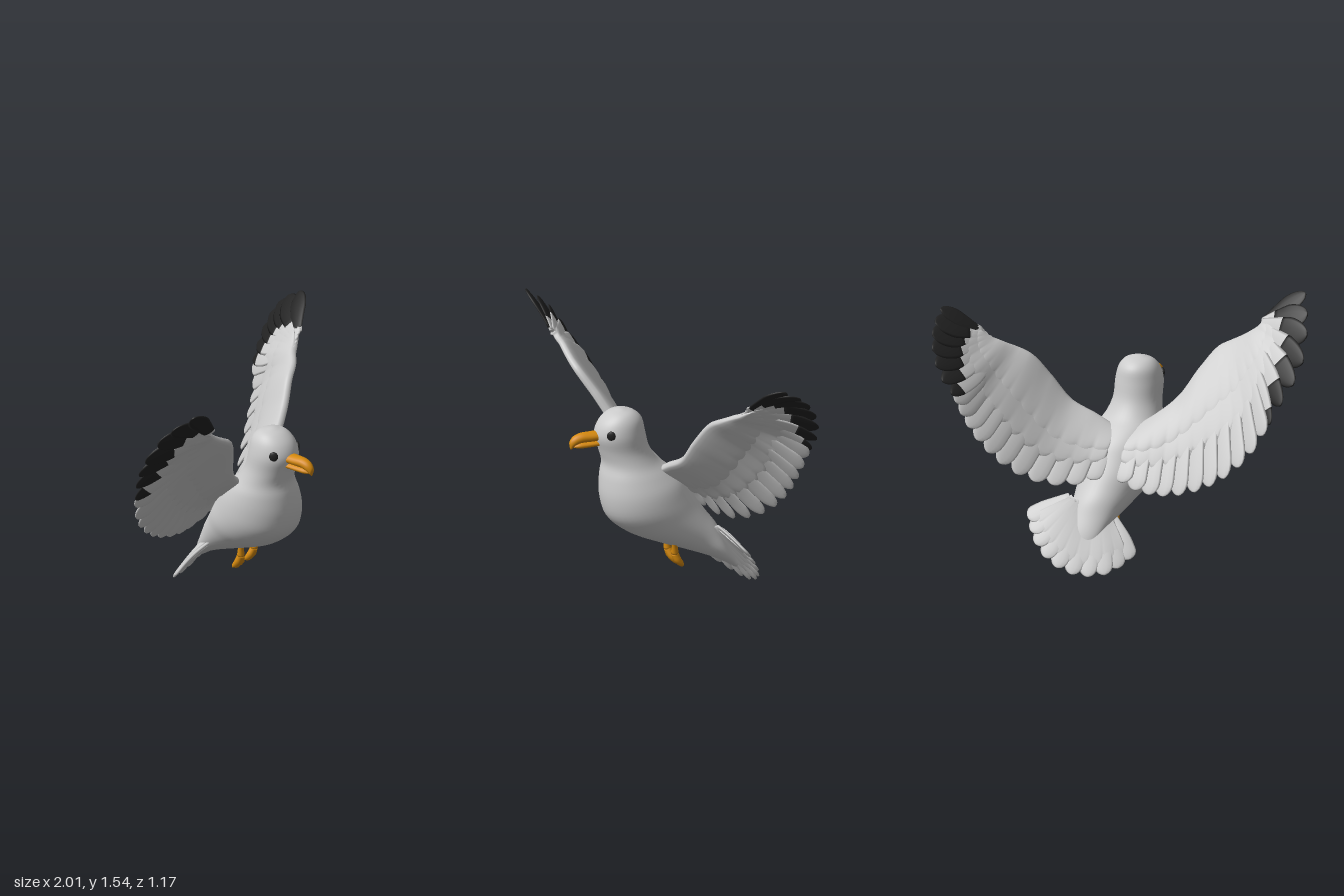
import * as THREE from 'three';
import { mergeGeometries } from 'three/addons/utils/BufferGeometryUtils.js';

const V = (x, y, z) => new THREE.Vector3(x, y, z);
const mat = (name, color) => new THREE.MeshStandardMaterial({ name, color });
const curve = (pts) => new THREE.CatmullRomCurve3(pts.map((p) => V(...p)));
const { lerp, clamp } = THREE.MathUtils;

// Piecewise linear lookup in a list of [position, value]
function ramp(stops, t) {
  for (let i = 1; i < stops.length; i++) {
    const [a, va] = stops[i - 1], [b, vb] = stops[i];
    if (t <= b) return lerp(va, vb, clamp((t - a) / (b - a), 0, 1));
  }
  return stops[stops.length - 1][1];
}

// Closed skin over a row of rings, always turned outward
function loft(rings) {
  const n = rings[0].length, m = rings.length, pos = [], idx = [];
  rings.forEach((r) => r.forEach((p) => pos.push(p.x, p.y, p.z)));
  for (const r of [rings[0], rings[m - 1]]) {
    const c = r.reduce((s, p) => s.add(p), V(0, 0, 0)).divideScalar(n);
    pos.push(c.x, c.y, c.z);
  }
  for (let j = 0; j < n; j++) {
    const k = (j + 1) % n;
    for (let i = 0; i < m - 1; i++) {
      const a = i * n + j, b = i * n + k;
      idx.push(a, b, a + n, b, b + n, a + n);
    }
    idx.push(m * n, k, j, m * n + 1, (m - 1) * n + j, (m - 1) * n + k);
  }
  const at = (i) => V(pos[i * 3], pos[i * 3 + 1], pos[i * 3 + 2]);
  let volume = 0;
  for (let i = 0; i < idx.length; i += 3) volume += at(idx[i]).dot(at(idx[i + 1]).cross(at(idx[i + 2])));
  if (volume < 0) idx.reverse();
  const g = new THREE.BufferGeometry();
  g.setAttribute('position', new THREE.Float32BufferAttribute(pos, 3));
  g.setIndex(idx);
  g.computeVertexNormals();
  return g;
}

// Ring spanned by two half-axes
function ellipse(c, a, b, n) {
  return Array.from({ length: n }, (_, i) => {
    const t = (i / n) * Math.PI * 2;
    return c.clone().addScaledVector(a, Math.cos(t)).addScaledVector(b, Math.sin(t));
  });
}

// Sections [dorsal y, dorsal z, ventral y, ventral z, x, half width], smoothed along the length
function bodyLoft(sections, steps, n) {
  const d = curve(sections.map((s) => [s[4], s[0], s[1]]));
  const v = curve(sections.map((s) => [s[4], s[2], s[3]]));
  const w = curve(sections.map((s, i) => [s[5], i, 0]));
  return loft(Array.from({ length: steps + 1 }, (_, i) => {
    const t = i / steps, a = d.getPoint(t), b = v.getPoint(t);
    return ellipse(a.clone().add(b).multiplyScalar(0.5), b.clone().sub(a).multiplyScalar(0.5),
      V(w.getPoint(t).x, 0, 0), n);
  }));
}

// Surface between a leading and a trailing curve: point(s, c) and normal(s); camber fades to the end
function makeSurface(lead, trail, side, camber) {
  const L = curve(lead), T = curve(trail), last = lead.length - 1;
  const normal = (s) => {
    const t = clamp(s / last, 0.02, 0.98);
    const span = L.getPoint(t + 0.02).add(T.getPoint(t + 0.02)).sub(L.getPoint(t - 0.02)).sub(T.getPoint(t - 0.02));
    return span.cross(T.getPoint(t).sub(L.getPoint(t))).normalize().multiplyScalar(side);
  };
  const point = (s, c) => L.getPoint(s / last).lerp(T.getPoint(s / last), c)
    .addScaledVector(normal(s), camber * (1 - 0.8 * s / last) * Math.sin(Math.PI * c));
  return { point, normal, last };
}

// Feather along the chord of a surface from fraction f0 to f1; its end narrows from fraction r
function feather(surf, s, half, f0, f1, r) {
  const normal = surf.normal(s), dir = surf.point(s, 1).sub(surf.point(s, 0)).normalize();
  const across = normal.clone().cross(dir).addScaledVector(normal, 0.13);
  const rings = [];
  for (let i = 0; i <= 14; i++) {
    const f = lerp(f0, f1, Math.sin((i / 14) * Math.PI / 2));
    const end = f > r ? Math.sqrt(Math.max(0.003, 1 - ((f - r) / (1 - r)) ** 2)) : 1;
    const w = half * lerp(0.55, 1, Math.min(1, f / 0.6)) * end;
    rings.push(ellipse(surf.point(s, f), across.clone().multiplyScalar(w),
      normal.clone().multiplyScalar(0.004 + 0.006 * end), 10));
  }
  return loft(rings);
}

// Layer of short feathers with a blunt, scalloped rear edge
function coverts(surf, reach, thick, scallops, steps = 140) {
  const rings = [];
  for (let i = 0; i <= steps; i++) {
    const s = (i / steps) * surf.last, normal = surf.normal(s);
    const edge = reach(s) * (0.93 + 0.09 * Math.sqrt(Math.abs(Math.sin(s * scallops * Math.PI))));
    rings.push(Array.from({ length: 24 }, (_, k) => {
      const a = (k / 24) * Math.PI * 2, c = (1 - Math.cos(a)) / 2, h = Math.sin(a);
      return surf.point(s, c * edge)
        .addScaledVector(normal, Math.sign(h) * Math.sqrt(Math.abs(h)) * thick(s) * (1 - 0.3 * c));
    }));
  }
  return loft(rings);
}

// Tapered round limb
function limb(pts, radii) {
  const c = curve(pts);
  return loft(Array.from({ length: 11 }, (_, i) => {
    const r = ramp(radii, i / 10), d = c.getTangent(i / 10);
    const a = V(1, 0, 0).addScaledVector(d, -d.x).normalize();
    return ellipse(c.getPoint(i / 10), a.clone().multiplyScalar(r), d.clone().cross(a).multiplyScalar(r), 12);
  }));
}

export function createModel() {
  const white = mat('white plumage', 0xcbcbcb), black = mat('black', 0x222222), orange = mat('orange', 0xd68a0e);
  const model = new THREE.Group();
  const add = (name, geo, material, parent = model) => {
    const mesh = new THREE.Mesh(Array.isArray(geo) ? mergeGeometries(geo) : geo, material);
    mesh.name = name;
    parent.add(mesh);
    return mesh;
  };

  // Head, neck, breast and rump in one smooth skin
  add('body', bodyLoft([
    [1.117, 0.26, 1.117, 0.29, 0.03, 0.02], [1.1, 0.2, 1.095, 0.35, 0.03, 0.08],
    [1.06, 0.155, 1.045, 0.405, 0.03, 0.117], [0.98, 0.135, 0.97, 0.43, 0.03, 0.137],
    [0.88, 0.11, 0.88, 0.405, 0.03, 0.14], [0.8, 0.06, 0.8, 0.385, 0.035, 0.16],
    [0.74, -0.01, 0.72, 0.4, 0.045, 0.192], [0.68, -0.07, 0.6, 0.405, 0.06, 0.217],
    [0.6, -0.12, 0.48, 0.37, 0.07, 0.222], [0.53, -0.165, 0.38, 0.25, 0.08, 0.205],
    [0.46, -0.21, 0.31, 0.09, 0.1, 0.175], [0.39, -0.26, 0.25, -0.07, 0.12, 0.145],
    [0.31, -0.3, 0.2, -0.2, 0.14, 0.125], [0.22, -0.345, 0.16, -0.285, 0.155, 0.1],
    [0.14, -0.375, 0.12, -0.35, 0.165, 0.06],
  ], 60, 40), white);

  // Hooked bill in two halves
  add('upperBill', bodyLoft([
    [0.995, 0.4, 0.94, 0.4, 0.022, 0.045], [0.996, 0.46, 0.938, 0.46, 0.022, 0.041],
    [0.994, 0.52, 0.936, 0.52, 0.021, 0.034], [0.978, 0.56, 0.922, 0.555, 0.02, 0.027],
    [0.95, 0.583, 0.905, 0.572, 0.02, 0.016], [0.92, 0.582, 0.902, 0.576, 0.02, 0.006],
  ], 24, 20), orange);
  add('lowerBill', bodyLoft([
    [0.945, 0.4, 0.908, 0.4, 0.022, 0.04], [0.942, 0.48, 0.905, 0.48, 0.022, 0.034],
    [0.938, 0.53, 0.905, 0.53, 0.021, 0.027], [0.925, 0.56, 0.912, 0.56, 0.02, 0.012],
  ], 16, 20), orange);

  // Eyes
  for (const side of [-1, 1]) {
    const eye = add(side > 0 ? 'leftEye' : 'rightEye', new THREE.SphereGeometry(0.026, 20, 14), black);
    eye.scale.set(0.45, 1.1, 1);
    eye.position.set(0.028 + side * 0.104, 0.995, 0.372);
    eye.rotation.y = -side * 0.6;
  }

  // Wings: matching stations from shoulder to tip along the leading and trailing edges
  const wings = [
    { name: 'leftWing', side: 1,
      lead: [[0.08, 0.73, 0.08], [0.21, 0.81, 0.06], [0.35, 0.89, 0.03], [0.46, 1.03, 0], [0.56, 1.16, -0.05],
        [0.64, 1.21, -0.09], [0.7, 1.245, -0.14], [0.74, 1.265, -0.165], [0.77, 1.285, -0.185], [0.79, 1.3, -0.2], [0.8, 1.305, -0.21]],
      trail: [[0.1, 0.51, -0.17], [0.28, 0.47, -0.26], [0.45, 0.51, -0.36], [0.6, 0.62, -0.45], [0.71, 0.75, -0.5],
        [0.79, 0.89, -0.53], [0.84, 1.03, -0.57], [0.91, 1.14, -0.585], [0.965, 1.27, -0.56], [0.995, 1.39, -0.48], [1, 1.48, -0.34]] },
    { name: 'rightWing', side: -1,
      lead: [[0, 0.73, 0.1], [-0.13, 0.82, 0.14], [-0.25, 0.93, 0.21], [-0.34, 1.08, 0.29], [-0.43, 1.2, 0.36],
        [-0.5, 1.24, 0.375], [-0.56, 1.27, 0.38], [-0.61, 1.3, 0.385], [-0.64, 1.32, 0.395], [-0.66, 1.335, 0.4], [-0.67, 1.34, 0.41]],
      trail: [[0, 0.51, -0.16], [-0.15, 0.45, -0.17], [-0.3, 0.44, -0.16], [-0.47, 0.48, -0.14], [-0.62, 0.56, -0.11],
        [-0.76, 0.69, -0.06], [-0.86, 0.87, 0.01], [-0.93, 1.02, 0.08], [-0.995, 1.18, 0.18], [-0.98, 1.4, 0.33], [-0.9, 1.55, 0.5]] },
  ];
  for (const { name, side, lead, trail } of wings) {
    const wing = new THREE.Group();
    wing.name = name;
    model.add(wing);
    const surf = makeSurface(lead, trail, side, 0.035);
    const pale = [], dark = [];
    for (let s = 0.25; s < 5.9; s += 0.55) pale.push(feather(surf, s, 0.062, 0.12, 1, 0.86));
    // Long outer feathers change to black partway along
    for (const [s, split, half] of [[6.1, 0.86, 0.07], [6.8, 0.73, 0.075], [7.5, 0.63, 0.08], [8.15, 0.56, 0.085],
      [8.75, 0.46, 0.085], [9.3, 0.32, 0.08], [9.9, 0.1, 0.06]]) {
      pale.push(feather(surf, s, half, 0.04, split, 0.6));
      dark.push(feather(surf, s, half, split, 1, 0.6));
    }
    add('flightFeathers', pale, white, wing);
    add('wingTipFeathers', dark, black, wing);
    const outer = [[0, 0.72], [5, 0.7], [6, 0.66], [8, 0.5], [9, 0.32], [10, 0.06]];
    const inner = [[0, 0.55], [5, 0.48], [7, 0.38], [9, 0.2], [10, 0.04]];
    add('longCoverts', coverts(surf, (s) => ramp(outer, s), (s) => lerp(0.027, 0.016, s / 10), 1.7), white, wing);
    add('shortCoverts', coverts(surf, (s) => ramp(inner, s), (s) => lerp(0.042, 0.02, s / 10), 1.7), white, wing);
  }

  // Spread tail fan
  const tail = new THREE.Group();
  tail.name = 'tail';
  model.add(tail);
  const fan = makeSurface(
    [[0.04, 0.3, -0.17], [0.08, 0.33, -0.19], [0.13, 0.35, -0.21], [0.17, 0.37, -0.225], [0.21, 0.385, -0.235], [0.25, 0.395, -0.24]],
    [[-0.14, 0.09, -0.31], [-0.04, 0.02, -0.41], [0.12, 0.005, -0.46], [0.28, 0.06, -0.465], [0.4, 0.165, -0.42], [0.47, 0.28, -0.345]], 1, 0.015);
  add('tailFeathers', Array.from({ length: 10 }, (_, i) => feather(fan, (i / 9) * 5, 0.055, 0, 1, 0.84)), white, tail);
  add('tailCoverts', coverts(fan, () => 0.84, () => 0.017, 1.8, 90), white, tail);

  // Tucked legs with three toes each
  const feet = [
    ['rightFoot', [0.06, 0.32, 0.012], [0.067, 0.235, 0.002], [[0.05, 0.155, -0.045], [0.085, 0.14, -0.054], [0.115, 0.15, -0.05]]],
    ['leftFoot', [0.192, 0.34, 0.012], [0.182, 0.245, 0.002], [[0.152, 0.17, -0.04], [0.175, 0.158, -0.048], [0.195, 0.168, -0.045]]],
  ];
  for (const [name, hip, ankle, toes] of feet) {
    const parts = [limb([hip, ankle], [[0, 0.018], [0.6, 0.018], [1, 0.022]])];
    for (const tip of toes) {
      const mid = ankle.map((v, i) => (v + tip[i]) / 2 + (i === 2 ? 0.008 : 0));
      parts.push(limb([ankle, mid, tip], [[0, 0.021], [0.5, 0.021], [0.85, 0.015], [1, 0.005]]));
    }
    add(name, parts, orange);
  }
  return model;
}
